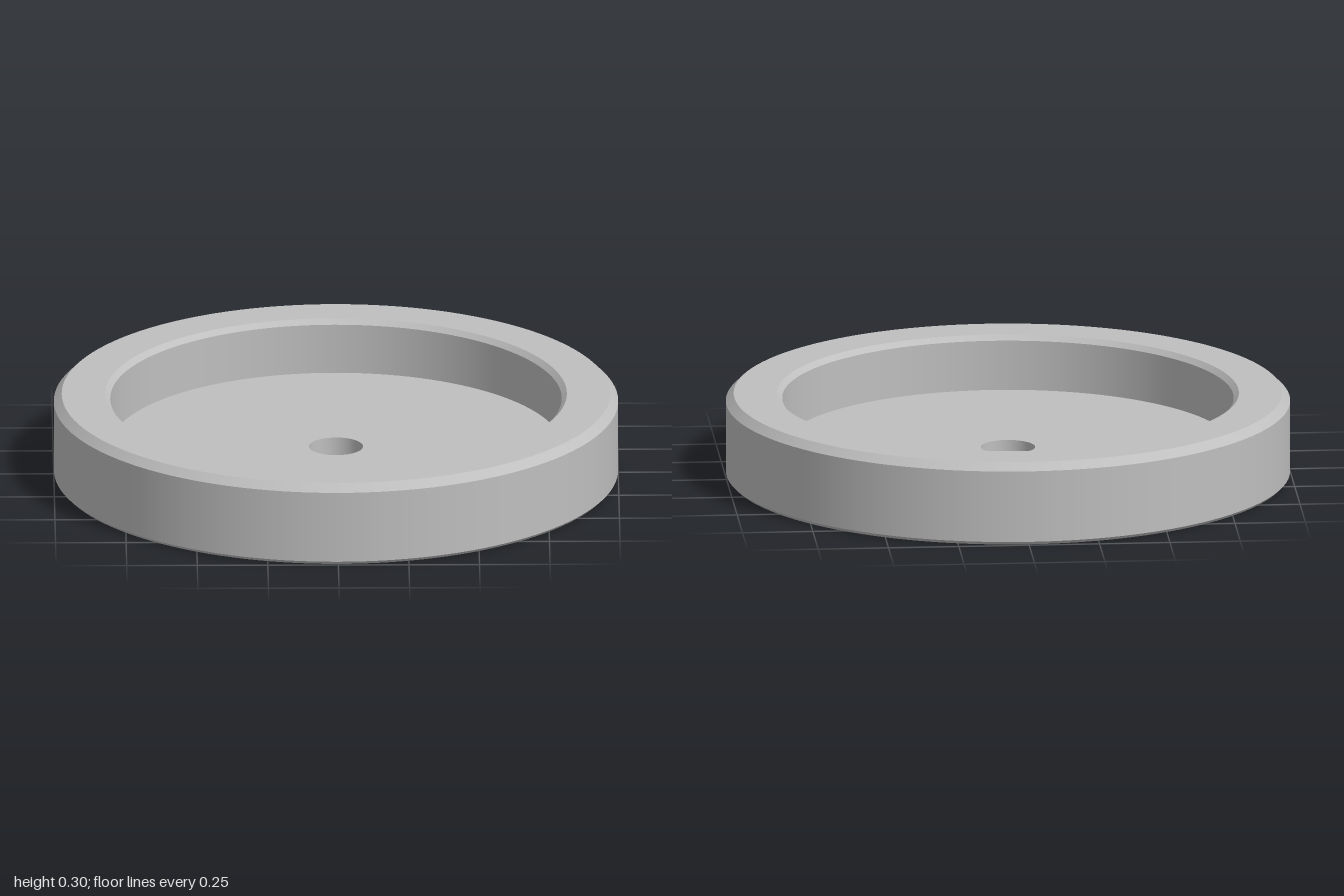
import * as THREE from 'three';
import { mergeGeometries } from 'three/addons/utils/BufferGeometryUtils.js';

const SEGMENTS = 128;

// Revolves each profile span separately so edges stay sharp and walls smooth.
function turned(name, profile, material) {
  const spans = [];
  for (let i = 0; i < profile.length - 1; i++) {
    const ends = [profile[i], profile[i + 1]].map(([r, y]) => new THREE.Vector2(r, y));
    spans.push(new THREE.LatheGeometry(ends, SEGMENTS));
  }
  const mesh = new THREE.Mesh(mergeGeometries(spans), material);
  mesh.name = name;
  return mesh;
}

export function createModel() {
  const group = new THREE.Group();
  group.name = 'recessedDisc';
  const grey = new THREE.MeshStandardMaterial({ color: 0xbfbfbf });
  grey.name = 'machined grey';

  // Underside with a shallow central recess
  group.add(turned('underside', [[0.105, 0.01], [0.375, 0.01], [0.375, 0], [0.988, 0]], grey));

  // Outer wall with a fine lower and a wider upper chamfer
  group.add(turned('outerWall', [[0.988, 0], [1, 0.012], [1, 0.27], [0.972, 0.298]], grey));

  // Flat rim, inner chamfer and pocket wall
  group.add(turned('rim', [[0.972, 0.298], [0.818, 0.298], [0.8, 0.28], [0.8, 0.1]], grey));

  // Pocket floor
  group.add(turned('pocketFloor', [[0.8, 0.1], [0.096, 0.1]], grey));

  // Through hole, chamfered underneath
  group.add(turned('centreHole', [[0.096, 0.1], [0.096, 0.019], [0.105, 0.01]], grey));

  return group;
}
